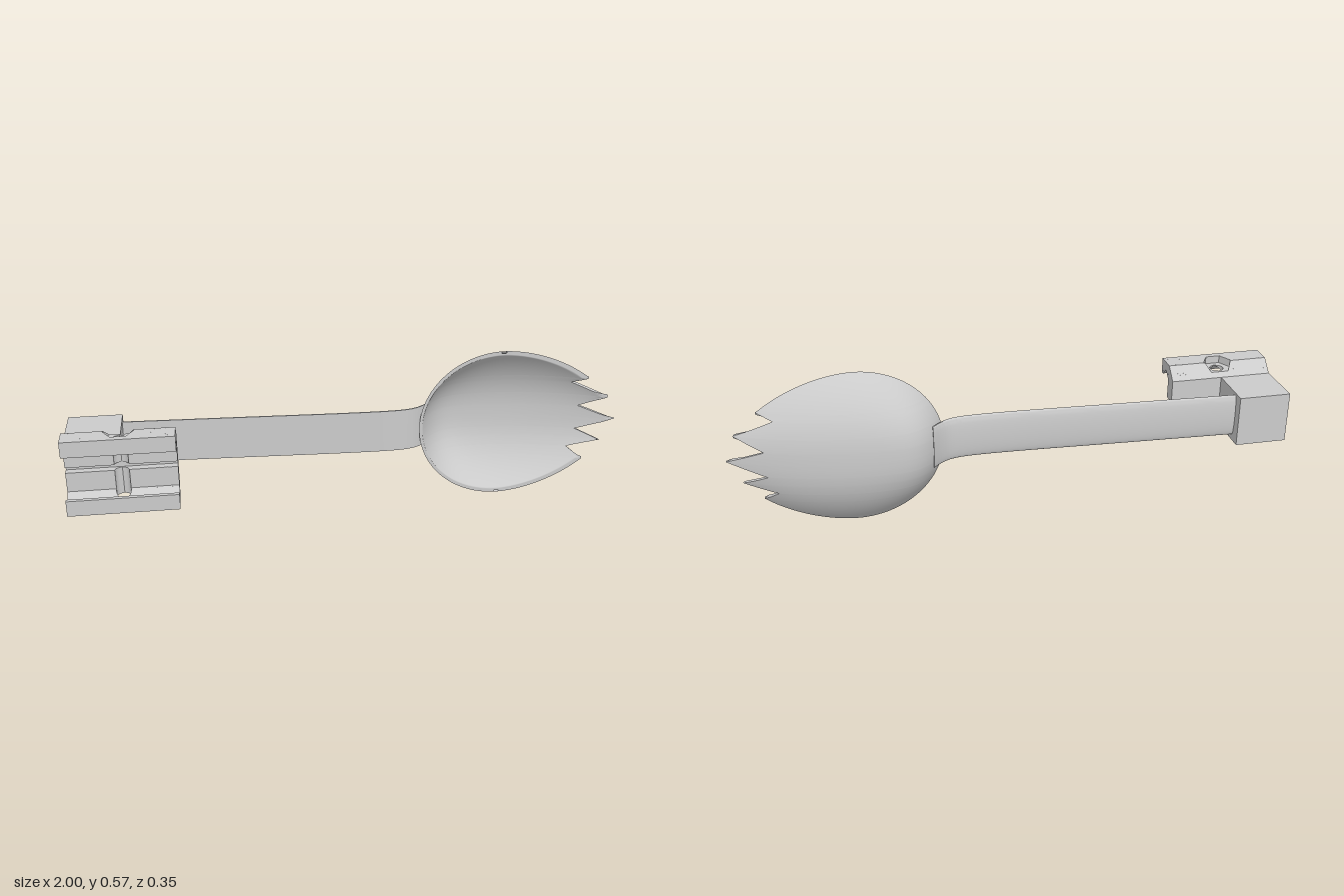
import * as THREE from 'three';
import { mergeGeometries, toCreasedNormals } from 'three/addons/utils/BufferGeometryUtils.js';

const mat = new THREE.MeshStandardMaterial({ color: 0xcccccc, side: THREE.DoubleSide });
const MID = 0.279;   // mid height of the clamp
const YC = 0.286;    // mid height of handle and bowl
const HALF = 0.284;  // half width of the bowl
const RIM = -0.055;  // depth of the bowl's rim

function part(name, geometry) {
  const m = new THREE.Mesh(geometry, mat);
  m.name = name;
  return m;
}

// Surface through rows of points
function grid(rows, flip = false) {
  const n = rows[0].length, index = [];
  for (let i = 0; i < rows.length - 1; i++) {
    for (let j = 0; j < n - 1; j++) {
      const a = i * n + j, b = a + 1, c = a + n, d = c + 1;
      if (flip) index.push(a, d, b, a, c, d);
      else index.push(a, b, d, a, d, c);
    }
  }
  const g = new THREE.BufferGeometry().setFromPoints(rows.flat());
  g.setIndex(index);
  g.computeVertexNormals();
  return g;
}

// ---- Rail clamp: bands along z, each split left and right of the bolt axis
const BOLT_X = -0.81, BOLT_Z = 0.105, FLOOR = 0.389;
const jawTop = z => Math.min(0.417, 0.373 + (z - 0.053) * 0.936);
function jawUnder(z) {
  if (z < 0.075) return MID;
  if (z < 0.102) return 0.289;
  return 0.36 + Math.max(0, z < 0.132 ? (z - 0.102) * 0.933 : (0.16 - z));
}
const round = r => z => Math.sqrt(Math.max(0, r * r - (z - BOLT_Z) ** 2));
const hex = z => Math.abs(z - BOLT_Z) < 0.046 ? 0.053 - Math.abs(z - BOLT_Z) / Math.sqrt(3) : 0;

function band(z0, z1, xEdge, side, cut, low, high, up) {
  const a = z0 + 1e-5, b = z1 - 1e-5, N = 8;
  const pts = [new THREE.Vector2(xEdge, -up * a), new THREE.Vector2(xEdge, -up * b)];
  for (let i = 0; i <= N; i++) {
    const z = b + (a - b) * i / N;
    pts.push(new THREE.Vector2(BOLT_X + side * cut(z), -up * z));
  }
  const g = new THREE.ExtrudeGeometry(new THREE.Shape(pts), { depth: 1, bevelEnabled: false });
  const p = g.attributes.position;
  for (let i = 0; i < p.count; i++) {
    const z = -up * p.getY(i);
    const y = THREE.MathUtils.lerp(low(z), high(z), p.getZ(i));
    p.setXYZ(i, p.getX(i), MID + up * (y - MID), z);
  }
  g.computeVertexNormals();
  return g;
}

function clampGeometry() {
  const breaks = [0.053, 0.059, 0.07, 0.075, 0.1, 0.102, 0.105, 0.132, 0.151, 0.16, 0.175];
  const floor = z => Math.min(FLOOR, jawTop(z));
  const list = [];
  for (const up of [1, -1]) {
    const pocket = up > 0 ? hex : round(0.046); // nut pocket above, screw head below
    for (const [side, edge] of [[-1, -1], [1, -0.62]]) {
      for (let i = 0; i < breaks.length - 1; i++) {
        const [z0, z1] = [breaks[i], breaks[i + 1]];
        list.push(band(z0, z1, edge, side, round(0.025), jawUnder, floor, up));
        if (z0 >= 0.07) list.push(band(z0, z1, edge, side, pocket, floor, jawTop, up));
      }
    }
  }
  return mergeGeometries(list);
}

// ---- Handle: flat front, rounded back, tail lapping onto the bowl
function handleGeometry() {
  const path = new THREE.CatmullRomCurve3([
    [-0.83, -0.085], [-0.4, -0.066], [0, -0.048], [0.14, -0.046], [0.2, -0.05],
    [0.24, -0.061], [0.27, -0.08], [0.3, -0.108],
  ].map(([x, z]) => new THREE.Vector3(x, 0, z)));
  const hw = 0.079, section = [[-hw, 0]];
  for (let i = 0; i <= 16; i++) {
    const s = -Math.cos(Math.PI * i / 16);
    section.push([hw * s, -0.005 - 0.011 * Math.sqrt(Math.max(0, 1 - s * s))]);
  }
  section.push([hw, 0], [-hw, 0]);
  const centre = path.getPoints(70);
  const rows = centre.map(c => section.map(([y, z]) => new THREE.Vector3(c.x, YC + y, c.z + z)));
  const e = centre[centre.length - 1];
  rows.push(section.map(() => new THREE.Vector3(e.x, YC, e.z - 0.007)));
  return toCreasedNormals(grid(rows, true), 0.7);
}

// ---- Bowl: height field over an egg outline with a toothed end
const TEETH = [ // y, x from the lowest tip to the highest
  [0.12, 0.886], [0.158, 0.835], [0.193, 0.952], [0.228, 0.865], [0.278, 1],
  [0.324, 0.87], [0.372, 0.967], [0.43, 0.832], [0.453, 0.886],
];
const leftEdge = w => 0.56 - 0.305 * Math.sqrt(Math.max(0, 1 - w * w));
function rightEdge(y, w) {
  for (let i = 0; i < TEETH.length - 1; i++) {
    const [y0, x0] = TEETH[i], [y1, x1] = TEETH[i + 1];
    if (y >= y0 && y <= y1) return x0 + (x1 - x0) * (y - y0) / (y1 - y0);
  }
  return 0.56 + 0.44 * Math.pow(Math.max(0, 1 - Math.pow(w, 1 / 0.62)), 1 / 1.8);
}
function bowlZ(x, w) {
  const u = x < 0.56 ? (0.56 - x) / 0.305 : (x - 0.56) / 0.44;
  const half = x < 0.56 ? Math.sqrt(Math.max(0, 1 - u * u)) : Math.pow(Math.max(0, 1 - u ** 1.8), 0.62);
  const depth = x < 0.46 ? 1 - ((0.46 - x) / 0.205) ** 3 : 1 - ((x - 0.46) / 0.54) ** 2;
  const v = Math.min(1, w / Math.max(half, 1e-4));
  return RIM - 0.119 * Math.max(0, depth) * (1 - v ** 2.4);
}

function bowlGeometry() {
  const ys = TEETH.map(t => t[0]);
  for (let i = 0; i <= 80; i++) ys.push(YC - HALF * 0.9995 * Math.cos(Math.PI * i / 80));
  ys.sort((a, b) => a - b);
  const rowYs = ys.filter((y, i) => i === 0 || y - ys[i - 1] > 1e-5);
  const N = 60;
  const outer = rowYs.map(y => {
    const w = Math.abs(y - YC) / HALF, x0 = leftEdge(w), x1 = rightEdge(y, w);
    return Array.from({ length: N + 1 }, (_, j) => {
      const x = x0 + (x1 - x0) * (1 - Math.cos(Math.PI * j / N)) / 2;
      return new THREE.Vector3(x, y, bowlZ(x, w));
    });
  });
  // Inner skin: offset along the normals, trimmed level with the rim
  const shell = grid(outer, true), n = shell.attributes.normal;
  const inner = outer.map((row, i) => row.map((p, j) => {
    const q = new THREE.Vector3().fromBufferAttribute(n, i * (N + 1) + j);
    q.multiplyScalar(-0.011).add(p);
    q.z = Math.min(q.z, RIM);
    return q;
  }));
  const wall = j => toCreasedNormals(grid(outer.map((r, i) => [r[j], inner[i][j]]), j === 0), 0.5);
  return mergeGeometries([shell.toNonIndexed(), grid(inner).toNonIndexed(), wall(0), wall(N)]);
}

export function createModel() {
  const group = new THREE.Group();
  group.name = 'clampOnSpork';
  group.add(part('railClamp', clampGeometry()));
  const block = part('mountBlock', new THREE.BoxGeometry(0.19, 0.188, 0.189));
  block.position.set(-0.905, MID, -0.0405);
  group.add(block);
  group.add(part('handle', handleGeometry()));
  group.add(part('toothedBowl', bowlGeometry()));
  return group;
}
